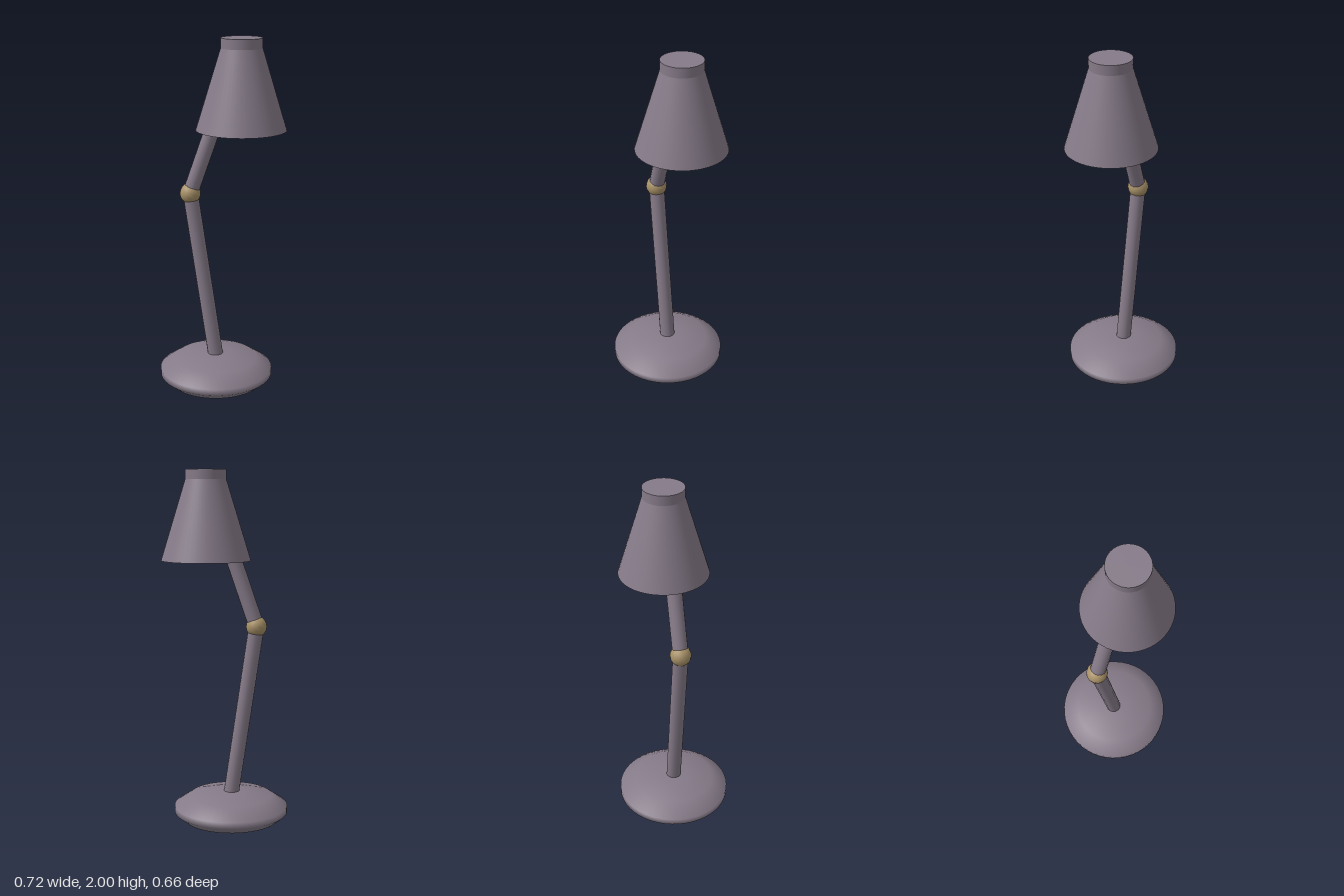
import * as THREE from 'three';

const V2 = (x, y) => new THREE.Vector2(x, y);
const V3 = (x, y, z) => new THREE.Vector3(x, y, z);

export function createModel() {
  const lamp = new THREE.Group();
  lamp.name = 'deskLamp';

  const paint = new THREE.MeshStandardMaterial({ color: 0x867b89 });
  paint.name = 'greyPaint';
  const brass = new THREE.MeshStandardMaterial({ color: 0xa89168 });
  brass.name = 'brass';

  function add(name, geometry, material, position) {
    const mesh = new THREE.Mesh(geometry, material);
    mesh.name = name;
    mesh.position.copy(position);
    lamp.add(mesh);
    return mesh;
  }

  // Straight round bar between two points
  function addRod(name, from, to, radius) {
    const dir = to.clone().sub(from);
    const rod = add(name, new THREE.CylinderGeometry(radius, radius, dir.length(), 14),
      paint, from.clone().add(to).multiplyScalar(0.5));
    rod.quaternion.setFromUnitVectors(V3(0, 1, 0), dir.normalize());
  }

  // Key positions
  const foot = V3(-0.034, 0, 0);
  const elbow = V3(-0.17, 1.128, -0.053);
  const head = V3(0.104, 0, 0.032);

  // Weighted base; the repeated point keeps the bottom edge sharp
  const baseProfile = [
    V2(0, 0), V2(0.28, 0), V2(0.28, 0), V2(0.328, 0.04), V2(0.328, 0.077),
    V2(0.236, 0.138), V2(0.09, 0.159), V2(0, 0.16),
  ];
  add('base', new THREE.LatheGeometry(baseProfile, 48), paint, foot);

  // Arms and elbow joint
  addRod('lowerArm', V3(foot.x, 0.13, foot.z), elbow, 0.044);
  addRod('upperArm', elbow, V3(0.095, 1.935, 0.036), 0.044);
  add('elbowJoint', new THREE.SphereGeometry(0.06, 14, 10), brass, elbow);

  // Hollow shade with a capped neck, outside then inside
  const shadeProfile = [
    V2(0, 1.93), V2(0.105, 1.93), V2(0.105, 1.93),
    V2(0.243, 1.497), V2(0.243, 1.497), V2(0.253, 1.497), V2(0.253, 1.497),
    V2(0.115, 1.945), V2(0.115, 1.945), V2(0.115, 2), V2(0.115, 2), V2(0, 2),
  ];
  add('shade', new THREE.LatheGeometry(shadeProfile, 48), paint, head);

  // Bulb holder hanging inside the shade
  add('bulbHolder', new THREE.CylinderGeometry(0.04, 0.04, 0.32, 16), brass,
    V3(head.x, 1.77, head.z));

  return lamp;
}
